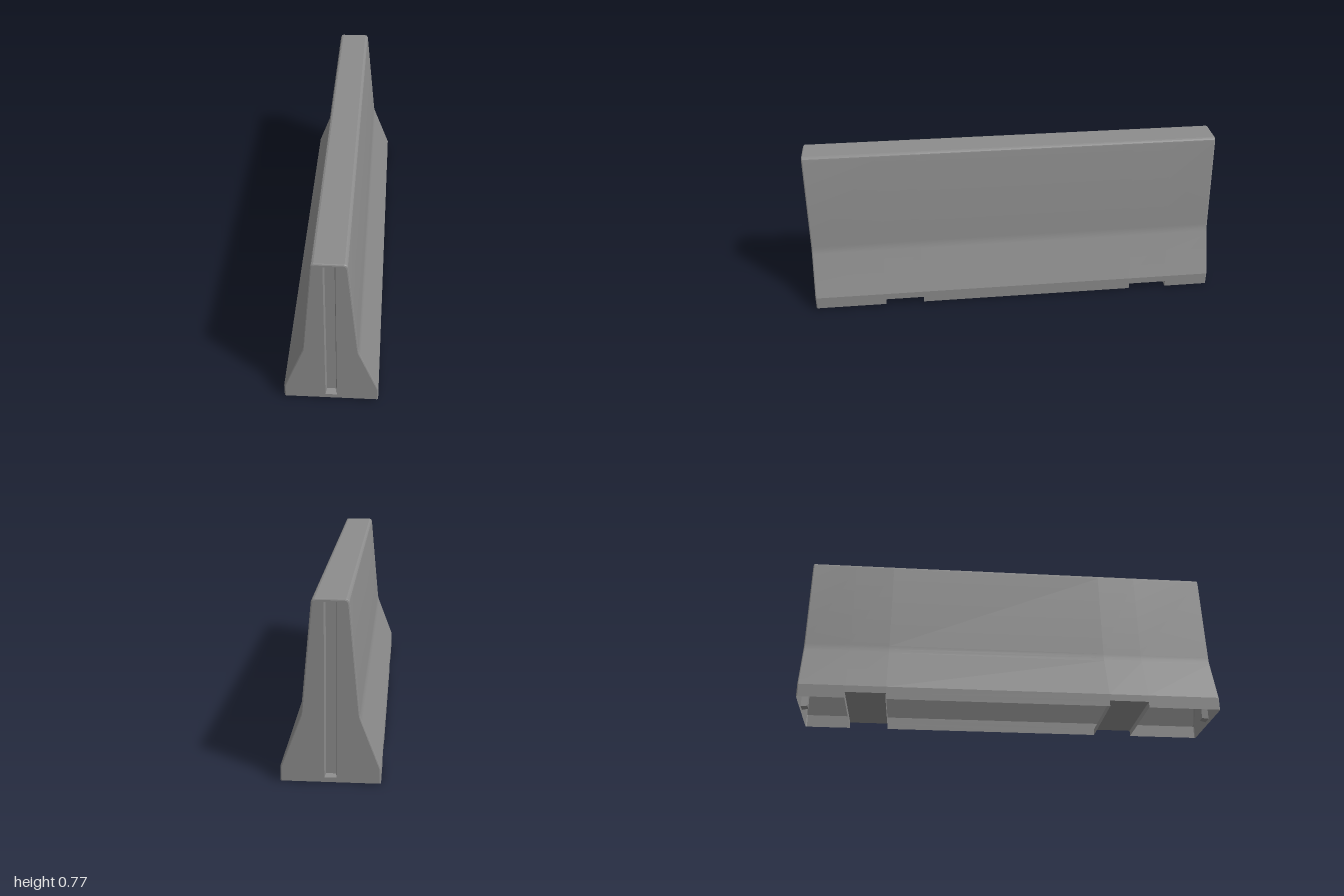
import * as THREE from 'three';
import { toCreasedNormals } from 'three/addons/utils/BufferGeometryUtils.js';

const HALF = 0.98;                                // half length
const NOTCH_H = 0.028;                            // height of the base channels
const NOTCHES = [[0.455, 0.64], [-0.765, -0.58]]; // channel extents along z
const HEIGHT = 0.763;
const EDGE = 0.006;                               // softened end edges

const concrete = new THREE.MeshStandardMaterial({ color: 0x8c8c8c, side: THREE.DoubleSide });
concrete.name = 'concrete grey';

// Right half of the cross-section, from the base up to the rounded top
const half = [[0.204, 0], [0.204, NOTCH_H], [0.204, 0.06], [0.126, 0.265],
  [0.119, 0.285], [0.1165, 0.305], [0.0755, 0.746], [0.0735, 0.754],
  [0.069, 0.760], [0.061, HEIGHT]];

// Full cross-section, left base to right base, pulled in by an inset
function section(inset) {
  const right = half.map(([x, y]) => [x - inset, y > 0.7 ? y - inset : y]);
  return [...right.map(([x, y]) => [-x, y]), ...right.slice().reverse()];
}

// Mesh from a list of four-cornered faces
function quadMesh(name, quads) {
  const g = new THREE.BufferGeometry();
  const pos = quads.flatMap(([a, b, c, d]) => [a, b, c, a, c, d].flat());
  g.setAttribute('position', new THREE.Float32BufferAttribute(pos, 3));
  const mesh = new THREE.Mesh(toCreasedNormals(g, 0.32), concrete);
  mesh.name = name;
  return mesh;
}

// Hollow body: the section swept along z, interrupted at the base by the channels
function createBody() {
  const ends = [[HALF, EDGE], [HALF - 0.002, 0.002], [HALF - EDGE, 0]];
  const rings = [...ends, ...ends.map(([z, i]) => [-z, i]), ...NOTCHES.flat().map((z) => [z, 0])]
    .sort((a, b) => a[0] - b[0]);
  const quads = [];
  for (let r = 0; r < rings.length - 1; r++) {
    const [z0, i0] = rings[r], [z1, i1] = rings[r + 1];
    const s0 = section(i0), s1 = section(i1);
    const inNotch = NOTCHES.some(([a, b]) => z0 >= a && z1 <= b);
    for (let k = 0; k < s0.length - 1; k++) {
      if (inNotch && (k === 0 || k === s0.length - 2)) continue;
      quads.push([[...s0[k], z0], [...s1[k], z1], [...s1[k + 1], z1], [...s0[k + 1], z0]]);
    }
  }
  return quadMesh('barrierBody', quads);
}

// Ceiling and two walls of a channel crossing the base
function createChannel([z0, z1]) {
  const w = half[0][0], h = NOTCH_H;
  return quadMesh('baseChannel', [
    [[-w, h, z0], [w, h, z0], [w, h, z1], [-w, h, z1]],
    [[-w, 0, z0], [w, 0, z0], [w, h, z0], [-w, h, z0]],
    [[w, 0, z1], [-w, 0, z1], [-w, h, z1], [w, h, z1]],
  ]);
}

// End wall with a tapered vertical keyway
function createEnd() {
  const end = new THREE.Group();
  const rect = (i) => [[-0.025 + i, 0.02 + i], [0.025 - i, 0.02 + i],
    [0.025 - i, 0.75 - i], [-0.025 + i, 0.75 - i]];
  const vec = (pts) => pts.map(([x, y]) => new THREE.Vector2(x, y));
  const shape = new THREE.Shape(vec(section(EDGE)));
  shape.holes.push(new THREE.Path(vec(rect(0)).reverse()));
  const wall = new THREE.Mesh(new THREE.ShapeGeometry(shape), concrete);
  wall.name = 'endWall';

  const outer = rect(0).map((p) => [...p, 0]);
  const inner = rect(0.005).map((p) => [...p, -0.03]);
  const quads = outer.map((o, i) => {
    const j = (i + 1) % 4;
    return [o, outer[j], inner[j], inner[i]];
  });
  quads.push(inner);
  end.add(wall, quadMesh('keyway', quads));
  wall.position.z = end.children[1].position.z = HALF;
  return end;
}

export function createModel() {
  const model = new THREE.Group();
  const barrier = new THREE.Group();
  barrier.name = 'concreteBarrier';
  barrier.add(createBody(), ...NOTCHES.map(createChannel));
  for (const name of ['frontEnd', 'backEnd']) {
    const end = createEnd();
    end.name = name;
    if (name === 'backEnd') end.rotation.y = Math.PI;
    barrier.add(end);
  }
  // The barrier sits turned and very slightly tilted
  barrier.rotation.set(-0.004, -0.107, 0.004, 'YXZ');
  barrier.position.set(-0.001, 0.006, 0);
  model.add(barrier);
  return model;
}
